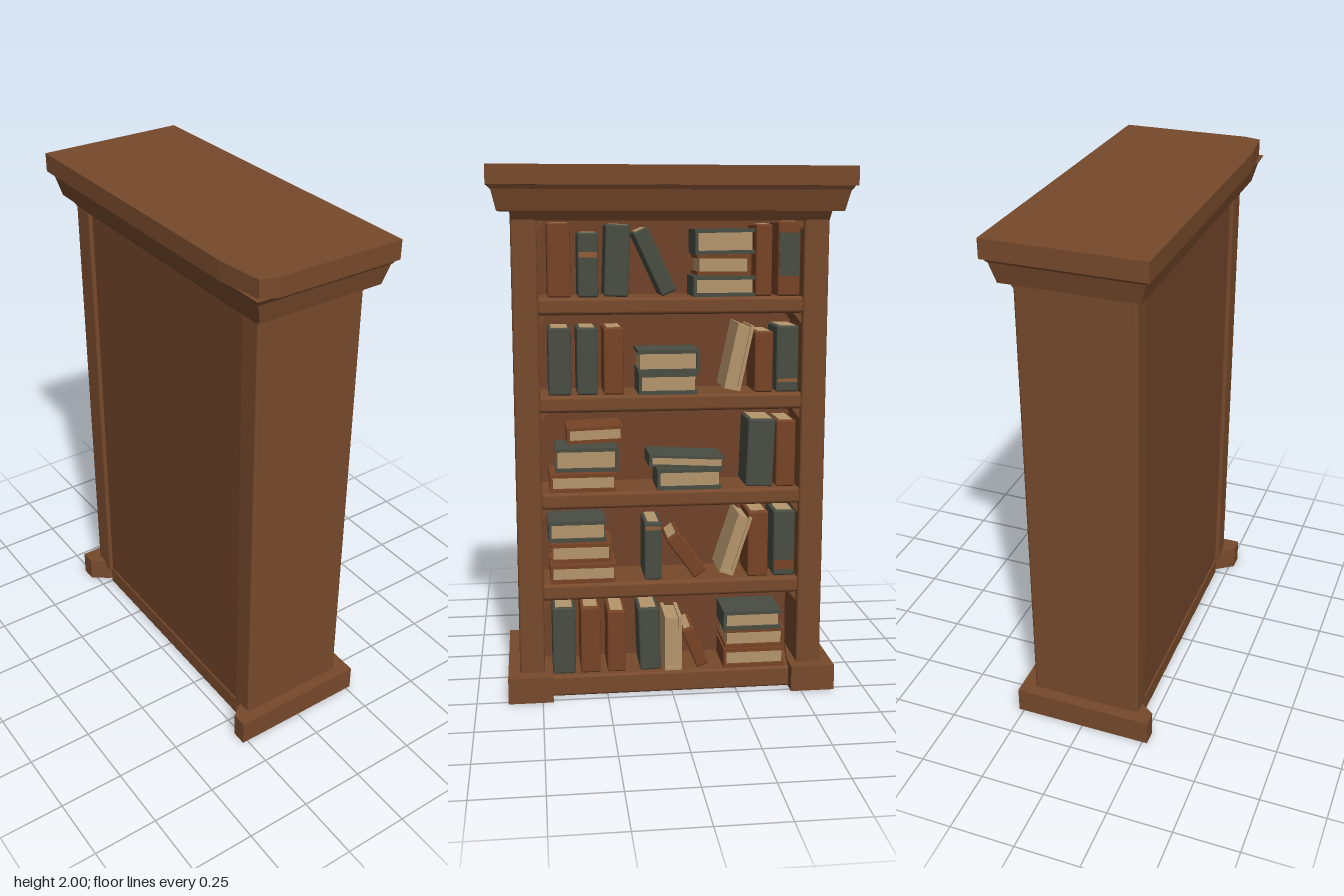
import * as THREE from 'three';
import { RoundedBoxGeometry } from 'three/addons/geometries/RoundedBoxGeometry.js';

const mat = (name, color) => {
  const m = new THREE.MeshStandardMaterial({ color });
  m.name = name;
  return m;
};

export function createModel() {
  const wood = mat('wood', 0x774a2c);
  const panelWood = mat('panel wood', 0x70432a);
  const brown = mat('brown cover', 0x774426);
  const green = mat('grey green cover', 0x484d43);
  const cream = mat('pages', 0xb5966c);
  const tan = mat('tan band', 0x8f5f38);

  const root = new THREE.Group();
  root.name = 'bookcase';

  const add = (parent, name, geometry, material, x = 0, y = 0, z = 0) => {
    const mesh = new THREE.Mesh(geometry, material);
    mesh.name = name;
    mesh.position.set(x, y, z);
    parent.add(mesh);
    return mesh;
  };

  // Box given by its limits, with softened edges when r > 0
  const box = (parent, name, m, x0, x1, y0, y1, z0, z1, r = 0) => {
    const s = [x1 - x0, y1 - y0, z1 - z0];
    const g = r ? new RoundedBoxGeometry(...s, 2, r) : new THREE.BoxGeometry(...s);
    return add(parent, name, g, m, (x0 + x1) / 2, (y0 + y1) / 2, (z0 + z1) / 2);
  };

  // Vertical prism from a plan outline of [x, z] points
  const prism = (name, m, points, y0, y1) => {
    const shape = new THREE.Shape(points.map(([x, z]) => new THREE.Vector2(x, -z)));
    const g = new THREE.ExtrudeGeometry(shape, { depth: y1 - y0, bevelEnabled: false });
    g.rotateX(-Math.PI / 2);
    return add(root, name, g, m, 0, y0, 0);
  };

  // Box whose bottom is narrower than its top
  const flare = (name, m, x0, z0, x1, z1, y0, y1) => {
    const g = new THREE.BoxGeometry(2, y1 - y0, 2).toNonIndexed();
    const p = g.attributes.position;
    for (let i = 0; i < p.count; i++) {
      const top = p.getY(i) > 0;
      p.setX(i, p.getX(i) * (top ? x1 : x0));
      p.setZ(i, p.getZ(i) * (top ? z1 : z0));
    }
    g.computeVertexNormals();
    return add(root, name, g, m, 0, (y0 + y1) / 2, 0);
  };

  // Carcass: uprights, back board and feet
  for (const s of [1, -1]) {
    const side = s > 0 ? 'left' : 'right';
    const upright = box(root, side + 'Upright', wood, -0.215, 0.215, 0.07, 1.85, -0.0475, 0.0475, 0.01);
    upright.position.z = s * 0.5375;
    const foot = [[0.27, 0.63], [0.27, 0.46], [0.2, 0.46], [-0.2, 0.52], [-0.27, 0.57], [-0.27, 0.63]];
    prism(side + 'Foot', wood, foot.map(([x, z]) => [x, s * z]), 0, 0.1);
  }
  box(root, 'backBoard', panelWood, -0.2, 0, 0.02, 1.84, -0.5, 0.5);
  box(root, 'plinth', wood, -0.205, 0.215, 0, 0.08, -0.5, 0.5, 0.01);

  // Cornice: bed mould, flared moulding and top slab with one worn corner
  flare('bedMould', wood, 0.213, 0.583, 0.24, 0.587, 1.805, 1.845);
  flare('corniceMoulding', wood, 0.245, 0.632, 0.268, 0.652, 1.84, 1.925);
  flare('corniceSoffit', wood, 0.268, 0.652, 0.28, 0.665, 1.915, 1.935);
  prism('topSlab', wood, [
    [0.285, 0.668], [0.285, -0.672], [-0.285, -0.672], [-0.285, 0.47], [-0.265, 0.65], [-0.2, 0.668],
  ], 1.93, 2);

  // Shelves with small corner blocks below their ends
  const floors = [1.528, 1.167, 0.8, 0.445, 0.08];
  floors.slice(0, 4).forEach((y) => box(root, 'shelf', wood, -0.05, 0.212, y - 0.063, y, -0.495, 0.495, 0.014));
  for (const top of [1.81, 1.467, 1.106, 0.739, 0.384]) {
    for (const s of [1, -1]) {
      const g = new THREE.ExtrudeGeometry(
        new THREE.Shape([[0, 0], [-0.035, 0], [0, -0.045]].map(([x, y]) => new THREE.Vector2(s * x, y))),
        { depth: 0.19, bevelEnabled: false });
      g.translate(0, 0, -0.19).rotateY(Math.PI / 2);
      add(root, 'cornerBlock', g, wood, 0.19, top, -s * 0.492);
    }
  }

  // Upright book with its spine outwards; positive lean tips the top towards +z
  const spineBook = (floor, m, z, t, h, lean = 0, band = null) => {
    const b = new THREE.Group();
    b.name = 'standingBook';
    box(b, 'cover', m, 0.02, 0.19, 0, h, -t / 2, t / 2, 0.008);
    box(b, 'pagesTop', cream, 0.03, 0.175, h - 0.002, h + 0.002, -t / 2 + 0.012, t / 2 - 0.012);
    if (band) {
      const [bm, y0, y1] = band;
      box(b, 'spineBand', bm, 0.182, 0.194, h * y0, h * y1, -t / 2 + 0.004, t / 2 - 0.004);
    }
    const a = THREE.MathUtils.degToRad(lean);
    b.rotation.x = a;
    b.position.set(0, floor + Math.abs(Math.sin(a)) * t / 2, z);
    root.add(b);
  };

  // Book with its pages outwards: two boards, a spine at one end and a page block
  const pageBook = (y, m, z, w, t, tilt = 0, out = 0, flip = 1) => {
    const b = new THREE.Group();
    b.name = 'lyingBook';
    const c = Math.min(0.014, t * 0.2);
    box(b, 'lowerBoard', m, 0.02, 0.2, 0, c, -w / 2, w / 2);
    box(b, 'upperBoard', m, 0.02, 0.2, t - c, t, -w / 2, w / 2);
    box(b, 'spine', m, 0.02, 0.2, c, t - c, -0.006, 0.006).position.z = flip * (w / 2 - 0.006);
    box(b, 'pageBlock', cream, 0.03, 0.19, c, t - c, -w / 2 + 0.008, w / 2 - 0.008);
    b.rotation.x = THREE.MathUtils.degToRad(tilt);
    b.position.set(out, y, z);
    root.add(b);
    return b;
  };

  // Standing books: shelf, cover, z, thickness, height, lean, band
  const gold = [tan, 0.62, 0.7];
  [
    [0, brown, 0.413, 0.085, 0.27], [0, green, 0.307, 0.075, 0.235, 0, gold], [0, green, 0.205, 0.09, 0.262, -2],
    [0, green, 0.008, 0.06, 0.255, 25], [0, brown, -0.345, 0.062, 0.265],
    [0, brown, -0.44, 0.085, 0.275, 0, [green, 0.27, 0.85]],
    [1, green, 0.415, 0.085, 0.25], [1, green, 0.313, 0.078, 0.25], [1, brown, 0.215, 0.075, 0.25],
    [1, brown, -0.35, 0.07, 0.23], [1, green, -0.44, 0.085, 0.25, 0, [tan, 0.15, 0.2]],
    [2, green, -0.338, 0.105, 0.262, -2], [2, brown, -0.44, 0.075, 0.258],
    [3, green, 0.07, 0.066, 0.228, 0, [tan, 0.87, 0.93]], [3, brown, -0.115, 0.06, 0.19, 36],
    [3, brown, -0.337, 0.08, 0.26], [3, green, -0.44, 0.085, 0.26, 0, [brown, 0.1, 0.24]],
    [4, green, 0.415, 0.088, 0.265], [4, brown, 0.313, 0.076, 0.265], [4, brown, 0.212, 0.072, 0.245],
    [4, green, 0.08, 0.082, 0.25, 2], [4, brown, -0.125, 0.05, 0.165, 22],
  ].forEach(([f, ...rest]) => spineBook(floors[f], ...rest));

  // Lying books: shelf, height above shelf, cover, z, width, thickness, tilt, overhang, spine end
  [
    [0, 0, green, -0.195, 0.23, 0.076, 0, 0.005, 1], [0, 0.078, brown, -0.195, 0.2, 0.076, 0, 0, -1],
    [0, 0.156, green, -0.192, 0.22, 0.092, 1, 0.035, 1],
    [1, 0, green, 0.014, 0.22, 0.08, 0, 0.01, 1], [1, 0.083, green, 0.014, 0.228, 0.085, 0, 0.025, -1],
    [2, 0, brown, 0.335, 0.25, 0.07, 0, 0, 1], [2, 0.08, green, 0.32, 0.235, 0.09, 0, 0.01, -1],
    [2, 0.185, brown, 0.287, 0.21, 0.062, 2, -0.01, 1],
    [2, 0, green, -0.068, 0.245, 0.08, 0, 0, 1], [2, 0.086, green, -0.055, 0.285, 0.045, -3, 0.01, 1],
    [3, 0, brown, 0.338, 0.25, 0.072, 0, 0, 1], [3, 0.08, brown, 0.343, 0.23, 0.075, 0, 0, -1],
    [3, 0.165, green, 0.359, 0.218, 0.08, 0, 0.01, 1],
    [4, 0, brown, -0.325, 0.24, 0.076, 0, 0, 1], [4, 0.08, brown, -0.328, 0.235, 0.076, 0, 0, -1],
    [4, 0.158, green, -0.314, 0.225, 0.075, 0, 0.015, 1],
  ].forEach(([f, y, ...rest]) => pageBook(floors[f] + y, ...rest));

  // Standing books with pages outwards: shelf, z, height, thickness, lean
  [[1, -0.238, 0.25, 0.062, -12], [3, -0.225, 0.24, 0.056, -18], [4, -0.008, 0.215, 0.066, 0]].forEach(([f, z, h, t, lean]) => {
    const b = pageBook(0, cream, 0, h, t, 90 + lean);
    b.name = 'standingPagesBook';
    const a = THREE.MathUtils.degToRad(lean);
    b.position.set(0, floors[f] + Math.cos(a) * h / 2 + Math.abs(Math.sin(a)) * t * 0.5,
      z + Math.sin(a) * h / 2 * 0.6 - t / 2);
  });

  return root;
}
